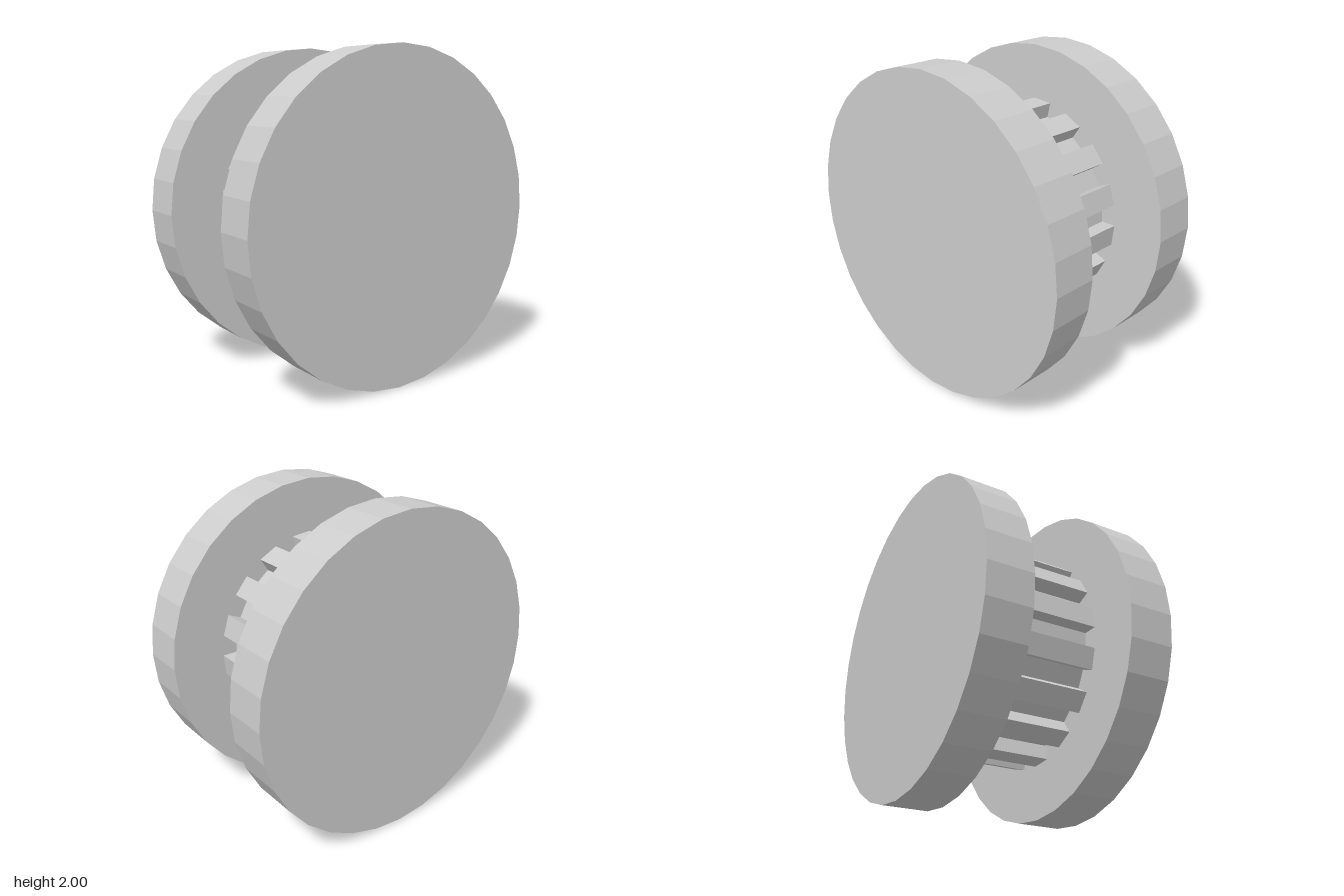
import * as THREE from 'three';

const SEGMENTS = 32;       // sides of the flanges, and half steps of the gear
const FLANGE_RADIUS = 1;
const HALF_DEPTH = 0.6;    // outer faces of the flanges
const HALF_GAP = 0.314;    // inner faces of the flanges
const TOOTH_RADIUS = 0.668;
const ROOT_RADIUS = 0.576;
const TEETH = 16;

// Gear outline with radial tooth sides; tooth and gap share the pitch equally
function gearShape() {
  const points = [];
  const step = Math.PI / TEETH;
  const add = (r, a) => points.push(new THREE.Vector2(r * Math.cos(a), r * Math.sin(a)));
  for (let i = 0; i < TEETH; i++) {
    const end = i * 2 * step;
    const start = end - step;
    add(ROOT_RADIUS, start);
    add(TOOTH_RADIUS, start);
    add(TOOTH_RADIUS, end);
    add(ROOT_RADIUS, end);
  }
  return new THREE.Shape(points);
}

export function createModel() {
  const model = new THREE.Group();
  model.name = 'flangedGear';
  const material = new THREE.MeshStandardMaterial({ color: 0xcccccc, flatShading: true });

  // Front and back flange discs
  const thickness = HALF_DEPTH - HALF_GAP;
  const flangeGeometry = new THREE.CylinderGeometry(FLANGE_RADIUS, FLANGE_RADIUS, thickness, SEGMENTS);
  flangeGeometry.rotateX(Math.PI / 2);
  for (const [name, side] of [['frontFlange', 1], ['backFlange', -1]]) {
    const flange = new THREE.Mesh(flangeGeometry, material);
    flange.name = name;
    flange.position.set(0, FLANGE_RADIUS, side * (HALF_GAP + thickness / 2));
    model.add(flange);
  }

  // Toothed core between the flanges
  const gearGeometry = new THREE.ExtrudeGeometry(gearShape(), { depth: HALF_GAP * 2, bevelEnabled: false });
  gearGeometry.translate(0, 0, -HALF_GAP);
  const gear = new THREE.Mesh(gearGeometry, material);
  gear.name = 'toothedCore';
  gear.position.y = FLANGE_RADIUS;
  model.add(gear);

  return model;
}
